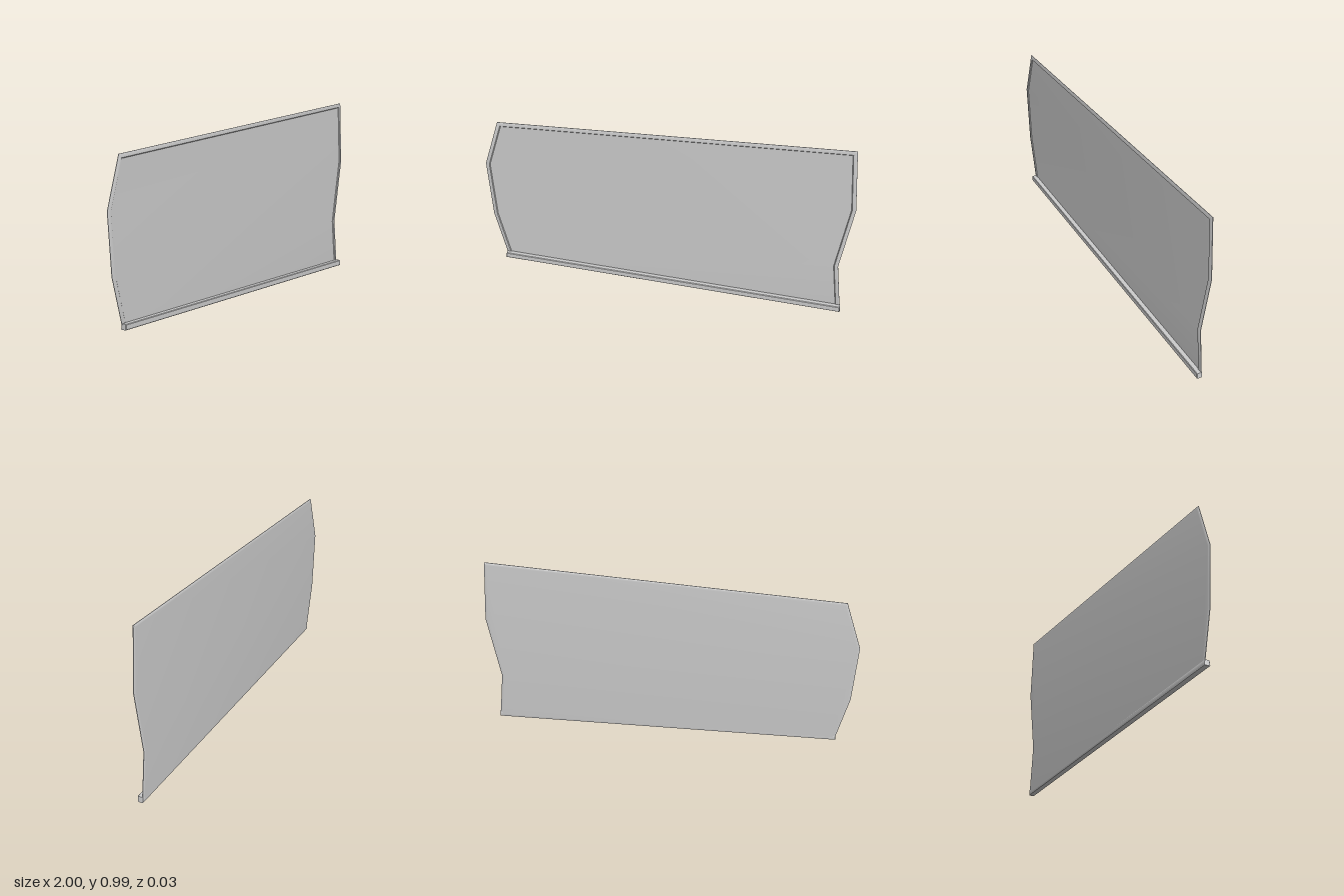
import * as THREE from 'three';
import { toCreasedNormals } from 'three/addons/utils/BufferGeometryUtils.js';

// Moves every edge of a counter-clockwise outline inward by d, with mitred corners
function inset(points, d) {
  const n = points.length;
  return points.map((p, i) => {
    const a = p.clone().sub(points[(i + n - 1) % n]).normalize();
    const b = points[(i + 1) % n].clone().sub(p).normalize();
    const na = new THREE.Vector2(-a.y, a.x);
    const nb = new THREE.Vector2(-b.y, b.x);
    return na.clone().add(nb).multiplyScalar(d / (1 + na.dot(nb))).add(p);
  });
}

// Joins inset copies of an outline from back to front; layers are [inset, z]
function loftOutline(outline, layers) {
  const n = outline.length;
  const positions = [];
  const index = [];
  const loops = layers.map(([d]) => inset(outline, d));
  loops.forEach((loop, k) => loop.forEach((p) => positions.push(p.x, p.y, layers[k][1])));
  for (let k = 0; k < layers.length - 1; k++) {
    for (let i = 0; i < n; i++) {
      const j = (i + 1) % n;
      const a = k * n + i, b = k * n + j, c = b + n, e = a + n;
      index.push(a, b, c, a, c, e);
    }
  }
  const last = (layers.length - 1) * n;
  for (const [a, b, c] of THREE.ShapeUtils.triangulateShape(loops[0], [])) index.push(a, c, b);
  for (const [a, b, c] of THREE.ShapeUtils.triangulateShape(loops[loops.length - 1], [])) {
    index.push(last + a, last + b, last + c);
  }
  const geometry = new THREE.BufferGeometry();
  geometry.setAttribute('position', new THREE.Float32BufferAttribute(positions, 3));
  geometry.setIndex(index);
  return toCreasedNormals(geometry, 0.6);
}

const toPoints = (pairs) => pairs.map(([x, y]) => new THREE.Vector2(x, y));

export function createModel() {
  const group = new THREE.Group();
  group.name = 'sidePanel';
  const material = new THREE.MeshStandardMaterial({ color: 0xcccccc });

  const addPart = (name, outline, layers) => {
    const mesh = new THREE.Mesh(loftOutline(toPoints(outline), layers), material);
    mesh.name = name;
    group.add(mesh);
  };

  // Thin panel with softened edges and a raised rim around its front face
  addPart('panel', [
    [-0.915, 0.08], [0.968, 0.003], [0.937, 0.28], [1.0, 0.64],
    [0.977, 0.985], [-0.915, 0.93], [-1.0, 0.67], [-0.98, 0.35],
  ], [
    [0.014, -0.016], [0.004, -0.015], [0, -0.012], [0, -0.009],
    [0.005, -0.006], [0.02, -0.005], [0.024, -0.009],
  ]);

  // Thicker ledge along the lower edge
  addPart('bottomLedge', [
    [-0.922, 0.077], [0.97, 0], [0.968, 0.032], [-0.918, 0.107],
  ], [
    [0.006, -0.016], [0.001, -0.014], [0, -0.011], [0, 0.014], [0.003, 0.017],
  ]);

  return group;
}
